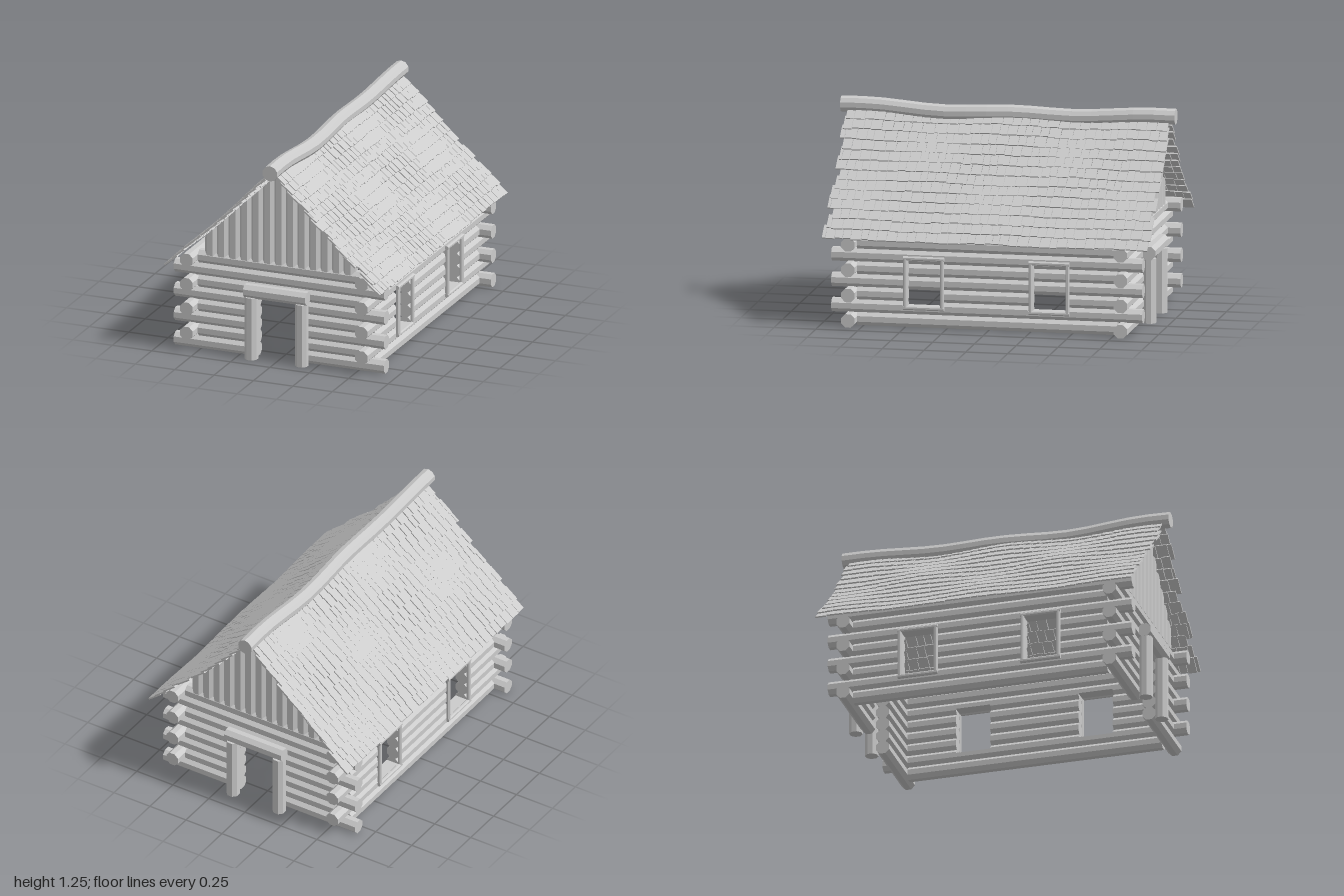
import * as THREE from 'three';
import { mergeGeometries } from 'three/addons/utils/BufferGeometryUtils.js';

const mat = new THREE.MeshStandardMaterial({ color: 0xcccccc, flatShading: true });
const R = 0.04, STEP = 0.0757, WALL_X = 0.555, WALL_Z = 0.815;

// Moves every vertex of a geometry by a rule
function warp(geo, rule) {
  const p = geo.attributes.position, v = new THREE.Vector3();
  for (let i = 0; i < p.count; i++) {
    rule(v.fromBufferAttribute(p, i));
    p.setXYZ(i, v.x, v.y, v.z);
  }
  return geo;
}

// Eight-sided log from a to b along one axis, centred on (x, y, z) in the others
function log(axis, a, b, x, y, z, r = R) {
  const g = new THREE.CylinderGeometry(r / Math.cos(Math.PI / 8), r / Math.cos(Math.PI / 8), b - a, 8, 1, false, Math.PI / 8);
  const mid = (a + b) / 2;
  if (axis === 'x') return g.rotateZ(Math.PI / 2).translate(mid, y, z);
  if (axis === 'z') return g.rotateX(Math.PI / 2).translate(x, y, mid);
  return g.translate(x, mid, z);
}

function part(name, geos) {
  const mesh = new THREE.Mesh(mergeGeometries(geos), mat);
  mesh.name = name;
  return mesh;
}

// Front or back wall with a doorway in the lower five rows
function endWall(s) {
  const geos = [];
  for (let i = 0; i < 8; i++) {
    const half = i % 2 ? 0.515 : 0.667, y = R + i * STEP, z = s * WALL_Z;
    if (i < 5) geos.push(log('x', -half, -0.14, 0, y, z), log('x', 0.14, half, 0, y, z));
    else geos.push(log('x', -half, half, 0, y, z));
  }
  return part('endWall', geos);
}

// Long wall with two windows cut through the middle rows
const WIN = 0.375, WIN_HALF = 0.105, SILL = 0.125, HEAD = 0.41;
function sideWall(s) {
  const geos = [], x = s * WALL_X;
  for (let i = 0; i < 8; i++) {
    const half = i % 2 ? 0.93 : 0.778, y = R + i * STEP;
    if (i < 1 || i > 5) { geos.push(log('z', -half, half, x, y, 0)); continue; }
    const inner = WIN - WIN_HALF, outer = WIN + WIN_HALF;
    geos.push(log('z', -half, -outer, x, y, 0), log('z', -inner, inner, x, y, 0), log('z', outer, half, x, y, 0));
    // Logs at the sill and head are only notched
    if (i === 1 || i === 5) for (const [a, b] of [[-outer, -inner], [inner, outer]]) {
      geos.push(warp(log('z', a, b, x, y, 0), v => {
        v.y = i === 1 ? Math.min(v.y, SILL) : Math.max(v.y, HEAD);
      }));
    }
  }
  return part('sideWall', geos);
}

function windowFrame(s, c) {
  const x = s * 0.603, r = 0.012, h = 0.11, geos = [];
  for (const k of [-1, 1]) geos.push(log('y', 0.115, 0.418, x, 0, c + k * h, r));
  for (const y of [0.12, 0.415]) geos.push(log('z', c - h - r, c + h + r, x, y, 0, r));
  return part('windowFrame', geos);
}

function doorFrame(s) {
  const z = s * 0.887;
  return part('doorFrame', [
    log('y', 0, 0.385, -0.16, 0, z, 0.037), log('y', 0, 0.385, 0.16, 0, z, 0.037),
    log('x', -0.198, 0.198, 0, 0.42, z),
  ]);
}

// Upright logs whose tops follow the roof slope
function gable(s) {
  const geos = [];
  for (let i = -6; i <= 6; i++) {
    geos.push(warp(log('y', 0.59, 1, i * 0.073, 0, s * WALL_Z), v => {
      if (v.y > 0.9) v.y = 1.16 - 0.97 * Math.abs(v.x);
    }));
  }
  return part('gable', geos);
}

// Overlapping rows of uneven shingles on a gently rippled slope
function roofSlope(s) {
  let seed = s > 0 ? 7 : 31;
  const rnd = () => (seed = (seed * 16807) % 2147483647) / 2147483647;
  for (let i = 0; i < 5; i++) rnd();
  const rows = 13, angle = Math.atan2(0.645, 0.665), length = 0.926, geos = [];
  for (let i = 0; i < rows; i++) {
    const d = (i + 1) / rows;
    let z = -0.965 + (rnd() - 0.5) * 0.03;
    const end = 0.965 + (rnd() - 0.5) * 0.03;
    while (z < end - 0.015) {
      const w = Math.min(0.04 + rnd() * 0.035, end - z), zc = z + w / 2;
      const ripple = 0.01 * Math.sin(d * Math.PI * 2.5 + 0.6) * Math.cos(zc * 7.5) * (1 - d * d * 0.5);
      const along = d * length + (rnd() - 0.5) * 0.008;
      const g = new THREE.BoxGeometry(0.1, 0.009, w - 0.003);
      g.translate(-0.05, 0, 0).rotateZ(-angle + 0.1);
      g.translate(
        0.02 + along * Math.cos(angle) + ripple * Math.sin(angle),
        1.175 - along * Math.sin(angle) + ripple * Math.cos(angle), s * zc);
      if (s < 0) g.rotateY(Math.PI);
      geos.push(g);
      z += w;
    }
  }
  return part('roofSlope', geos);
}

// Slightly crooked log along the top
function ridgeLog() {
  const g = new THREE.CylinderGeometry(0.048, 0.048, 2, 10, 16).rotateX(Math.PI / 2);
  warp(g, v => {
    v.y += 1.181 + 0.022 * v.z * v.z + 0.008 * Math.cos(v.z * 7.8);
    v.x += 0.01 * Math.sin(v.z * 5) * (1 - v.z * v.z);
  });
  return part('ridgeLog', [g]);
}

export function createModel() {
  const model = new THREE.Group();
  model.name = 'logCabin';
  const house = new THREE.Group();
  house.name = 'walls';
  house.position.z = 0.01;
  for (const s of [-1, 1]) {
    house.add(endWall(s), sideWall(s), doorFrame(s), gable(s), windowFrame(s, -WIN), windowFrame(s, WIN));
    model.add(roofSlope(s));
  }
  model.add(house, ridgeLog());
  return model;
}
